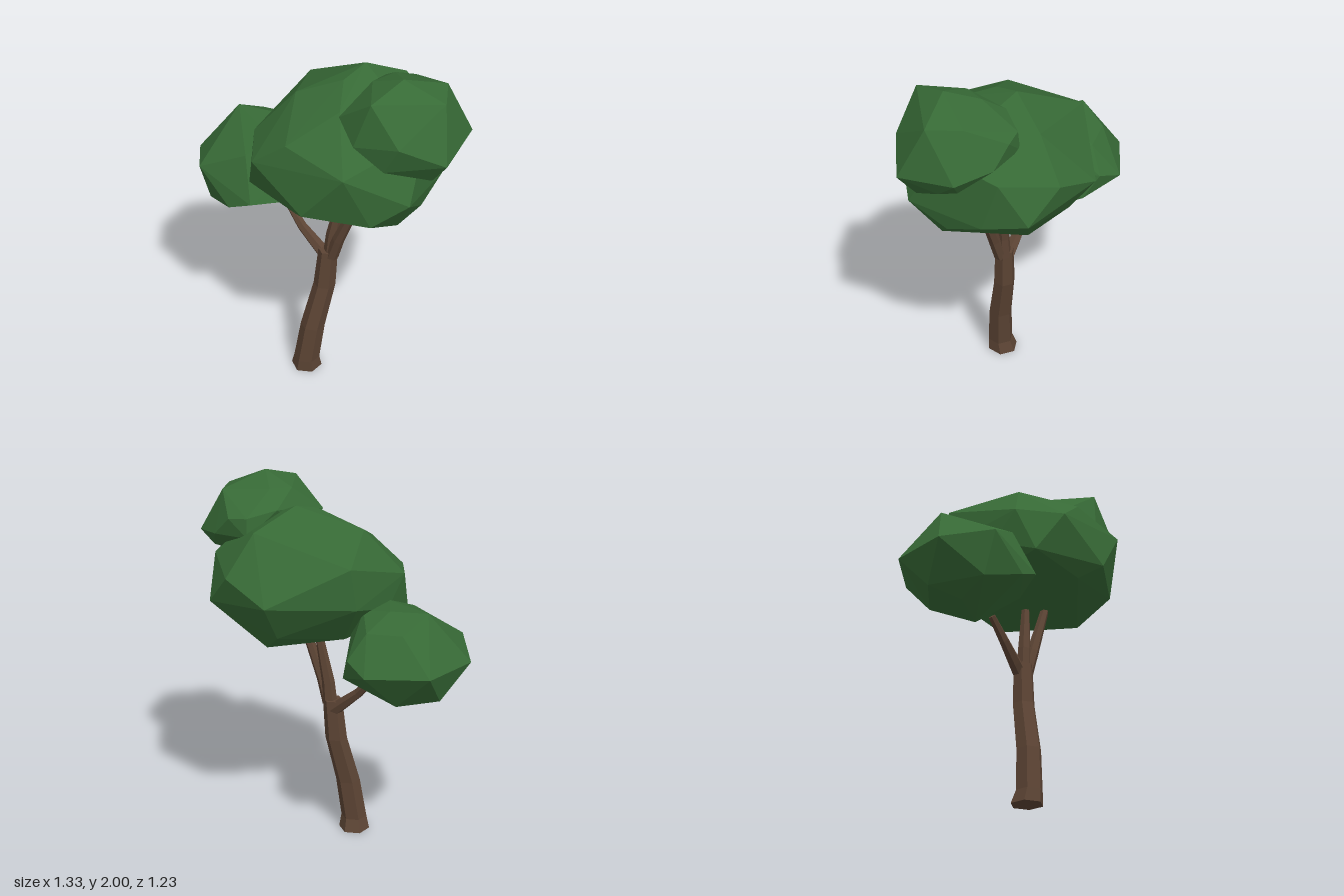
import * as THREE from 'three';
import { ConvexGeometry } from 'three/addons/geometries/ConvexGeometry.js';

const leafGreen = new THREE.MeshStandardMaterial({ name: 'leafGreen', color: 0x376a36, flatShading: true });
const barkBrown = new THREE.MeshStandardMaterial({ name: 'barkBrown', color: 0x5c4434, flatShading: true });

// Six-sided limb lofted through rings of [x, y, z, radius]
function limb(name, rings, level = false, sides = 6) {
  const up = new THREE.Vector3(0, 1, 0);
  const centres = rings.map(([x, y, z]) => new THREE.Vector3(x, y, z));
  const pos = [], index = [];
  rings.forEach(([, , , r], i) => {
    const before = centres[Math.max(i - 1, 0)];
    const after = centres[Math.min(i + 1, rings.length - 1)];
    const dir = level ? up : after.clone().sub(before).normalize();
    const q = new THREE.Quaternion().setFromUnitVectors(up, dir);
    for (let s = 0; s < sides; s++) {
      const a = ((s + 0.25) / sides) * Math.PI * 2;
      const p = new THREE.Vector3(Math.sin(a) * r, 0, Math.cos(a) * r).applyQuaternion(q).add(centres[i]);
      pos.push(p.x, p.y, p.z);
      if (i < rings.length - 1) {
        const b = i * sides + s, c = i * sides + ((s + 1) % sides);
        index.push(b, c, c + sides, b, c + sides, b + sides);
      }
    }
  });
  // End caps
  const top = (rings.length - 1) * sides;
  for (let s = 1; s < sides - 1; s++) {
    index.push(0, s + 1, s, top, top + s, top + s + 1);
  }
  const geo = new THREE.BufferGeometry();
  geo.setAttribute('position', new THREE.Float32BufferAttribute(pos, 3));
  geo.setIndex(index);
  geo.computeVertexNormals();
  const mesh = new THREE.Mesh(geo, barkBrown);
  mesh.name = name;
  return mesh;
}

// Faceted foliage clump: convex hull of its corner points
function foliage(name, points) {
  const mesh = new THREE.Mesh(new ConvexGeometry(points.map((p) => new THREE.Vector3(...p))), leafGreen);
  mesh.name = name;
  return mesh;
}

export function createModel() {
  const tree = new THREE.Group();
  tree.name = 'tree';

  // Leaning trunk with a flared foot
  tree.add(limb('trunk', [
    [-0.135, 0, 0.06, 0.085], [-0.135, 0.07, 0.073, 0.071], [-0.1, 0.3, 0.075, 0.067],
    [-0.032, 0.57, 0.058, 0.06], [-0.012, 0.8, 0.058, 0.053],
  ], true));

  // Three branches
  tree.add(limb('middleBranch', [[0, 0.77, 0.062, 0.04], [0.01, 0.9, 0.067, 0.035], [0.055, 1.15, 0.08, 0.023]]));
  tree.add(limb('frontBranch', [
    [0.005, 0.77, 0.08, 0.036], [0.035, 0.9, 0.115, 0.033], [0.12, 1.16, 0.185, 0.024], [0.15, 1.25, 0.205, 0.02],
  ]));
  tree.add(limb('rearBranch', [
    [-0.015, 0.74, 0.045, 0.038], [-0.06, 0.79, 0.01, 0.035], [-0.14, 0.88, -0.055, 0.027], [-0.205, 0.985, -0.125, 0.02],
  ]));

  // Large central crown
  tree.add(foliage('mainCrown', [
    [0.18, 1.9, 0.01], [0.06, 1.86, 0.1], [-0.17, 1.76, 0.02], [0.02, 1.79, 0.285], [0.4, 1.79, -0.08],
    [0.37, 1.48, -0.36], [-0.06, 1.67, -0.352], [-0.09, 1.455, -0.35], [0.55, 1.58, -0.16], [0.63, 1.41, 0],
    [0.59, 1.63, 0.14], [0.42, 1.7, 0.4], [0.55, 1.36, 0.22], [0.42, 1.28, 0.38], [0.33, 1.4, 0.56],
    [0.14, 1.29, 0.56], [0, 1.59, 0.59], [-0.19, 1.32, 0.47], [-0.25, 1.64, 0.33], [-0.41, 1.5, 0.235],
    [-0.42, 1.28, 0.08], [-0.38, 1.53, -0.02], [-0.28, 1.38, -0.13], [-0.05, 1.24, -0.18], [0.3, 1.28, -0.24],
    [0.34, 1.15, -0.03], [-0.2, 1.235, 0.33], [0.3, 1.18, 0.4],
  ]));

  // Upper clump, front left
  tree.add(foliage('upperCrown', [
    [0.31, 2, 0.37], [0.54, 1.92, 0.29], [0.18, 1.93, 0.25], [0.3, 1.94, 0.19], [0.5, 1.91, 0.47],
    [0.01, 1.79, 0.33], [0.14, 1.94, 0.49], [0.49, 1.65, 0.61], [0.26, 1.75, 0.6], [0.66, 1.69, 0.35],
    [0.59, 1.72, 0.16], [0.43, 1.83, 0.03], [0.43, 1.73, 0.02], [0.27, 1.86, 0.07], [0.52, 1.82, 0.08],
    [0.06, 1.71, 0.48], [0.2, 1.595, 0.54], [0.24, 1.56, 0.45], [0.44, 1.52, 0.52], [0.56, 1.59, 0.42],
    [0.59, 1.61, 0.33], [0.4, 1.57, 0.26], [0.1, 1.68, 0.25],
  ]));

  // Lower clump, rear right
  tree.add(foliage('lowerCrown', [
    [-0.44, 1.45, -0.41], [-0.26, 1.44, -0.33], [-0.29, 1.42, -0.11], [-0.3, 1.37, -0.5], [-0.14, 1.41, -0.22],
    [-0.13, 1.36, -0.42], [-0.42, 1.18, -0.62], [-0.1, 1.18, -0.57], [-0.03, 1.23, -0.45], [-0.02, 1.1, -0.36],
    [-0.1, 1.28, -0.1], [-0.43, 1.36, -0.04], [-0.42, 1.13, 0.08], [-0.53, 1.07, 0], [-0.67, 1.24, -0.15],
    [-0.66, 1.19, -0.43], [-0.62, 1.01, -0.2], [-0.5, 1, -0.47], [-0.44, 0.96, -0.3], [-0.28, 0.97, -0.45],
    [-0.2, 0.95, -0.21], [-0.2, 1.1, 0.02], [-0.08, 1.02, -0.22],
  ]));

  return tree;
}
